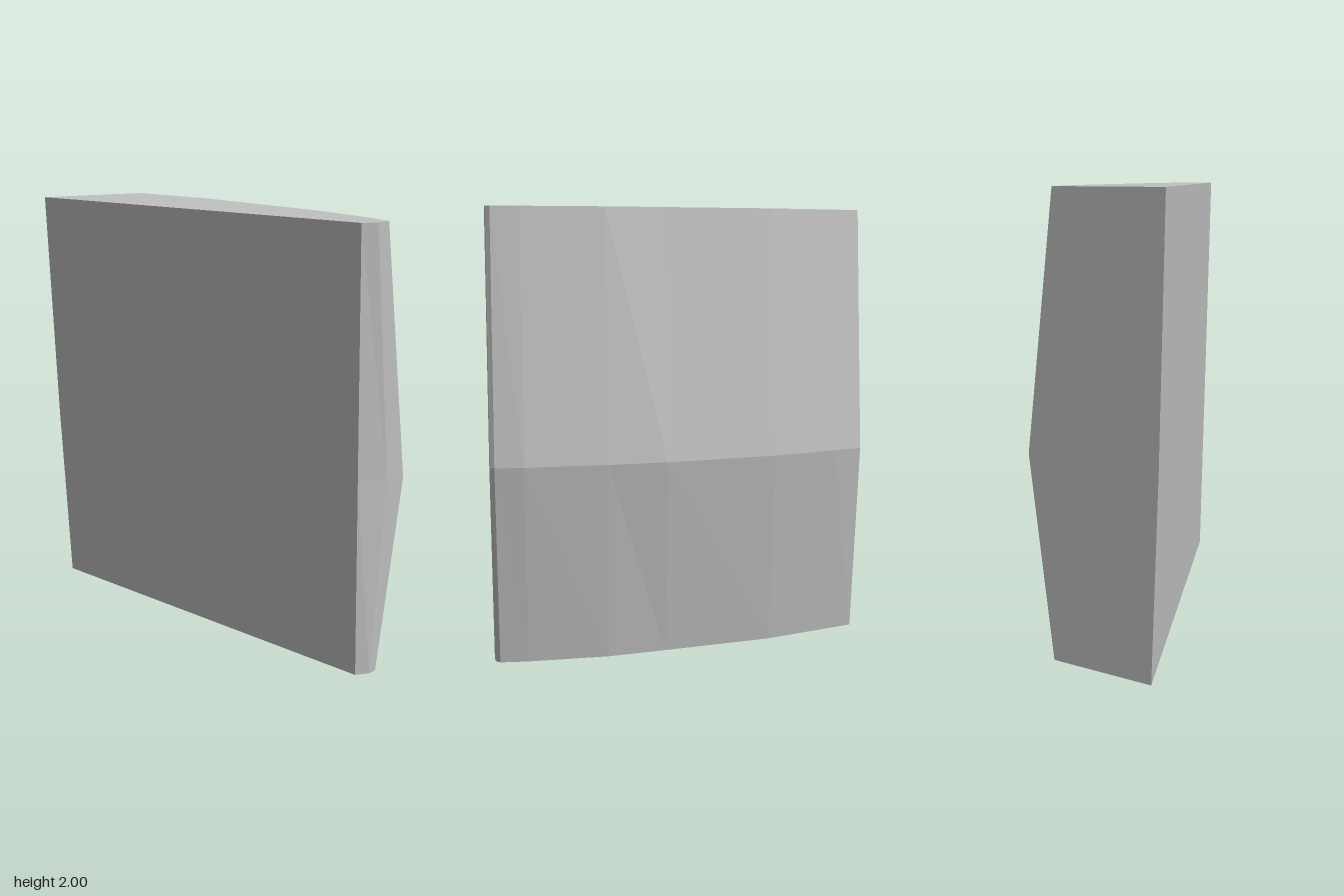
import * as THREE from 'three';

// Depth stations shared by every cross-section of the curved outer face
const outerZ = [-0.855, -0.72, -0.42, 0.08, 0.34, 0.7, 0.825];

// Cross-sections from bottom to top: outer x values, then front and inner edges
const sections = [
  { y: 0, outer: [0.055, 0.103, 0.207, 0.31, 0.36, 0.385, 0.383], lip: 0.365, front: 0.33, inner: 0.265, back: -0.43 },
  { y: 0.9, outer: [0.165, 0.22, 0.322, 0.43, 0.463, 0.49, 0.485], lip: 0.47, front: 0.38, inner: 0.24, back: -0.467 },
  { y: 2, outer: [0.02, 0.068, 0.175, 0.275, 0.328, 0.355, 0.352], lip: 0.335, front: 0.28, inner: 0.21, back: -0.5 },
];

function sectionPoints({ y, outer, lip, front, inner, back }) {
  const points = outer.map((x, i) => [x, y, outerZ[i]]);
  points.push([lip, y, 0.845], [front, y, 0.852], [inner, y, 0.836], [back, y, -0.855]);
  return points;
}

function loftGeometry() {
  const rings = sections.map(sectionPoints);
  const count = rings[0].length;
  const index = [];
  // Side walls
  for (let r = 0; r < rings.length - 1; r++) {
    for (let i = 0; i < count; i++) {
      const j = (i + 1) % count;
      const a = r * count + i, b = r * count + j;
      index.push(a, a + count, b + count, a, b + count, b);
    }
  }
  // Flat bottom and top, fanned from the back inner corner
  const last = count - 1;
  const top = (rings.length - 1) * count;
  for (let i = 0; i < count - 2; i++) {
    index.push(last, i, i + 1);
    index.push(top + last, top + i + 1, top + i);
  }
  const indexed = new THREE.BufferGeometry();
  indexed.setAttribute('position', new THREE.Float32BufferAttribute(rings.flat(2), 3));
  indexed.setIndex(index);
  const geometry = indexed.toNonIndexed();
  geometry.computeVertexNormals();
  return geometry;
}

export function createModel() {
  const group = new THREE.Group();
  group.name = 'curvedPanel';
  const grey = new THREE.MeshStandardMaterial({ color: 0xc0c0c0 });
  grey.name = 'light grey';

  // Solid wedge-shaped panel with a bowed, ridged outer face
  const panel = new THREE.Mesh(loftGeometry(), grey);
  panel.name = 'panelBody';
  group.add(panel);
  return group;
}
